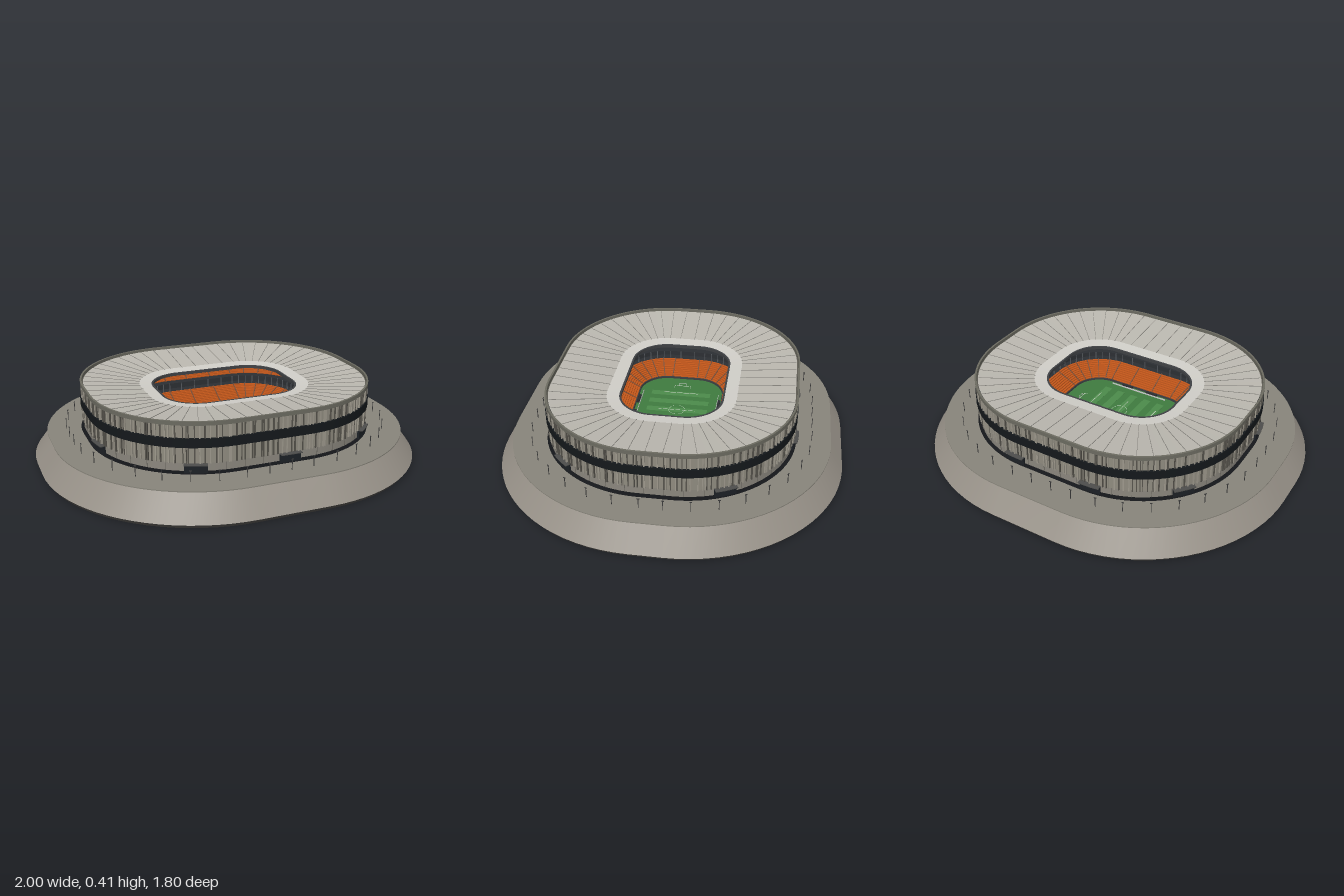
import * as THREE from 'three';
import { mergeGeometries, toCreasedNormals } from 'three/addons/utils/BufferGeometryUtils.js';

// Every ring is an offset of one small core rectangle (half sizes HX, HZ).
const HX = 0.18, HZ = 0.08, R = 0.56, ARC = R * Math.PI / 2;
const LEGS = [HX, ARC, 2 * HZ, ARC, 2 * HX, ARC, 2 * HZ, ARC, HX];
const TOTAL = LEGS.reduce((a, b) => a + b, 0);

// Point at distance s round the ring (0 = front centre, towards +x), offset r from the core.
function at(s, r) {
  s = ((s % TOTAL) + TOTAL) % TOTAL;
  let a = 0, x = 0, z = HZ;
  for (let i = 0; i < LEGS.length; i++) {
    const d = Math.min(s, LEGS[i]);
    if (i % 2) a += d / R;
    else { x += Math.cos(a) * d; z -= Math.sin(a) * d; }
    s -= d;
    if (s <= 1e-9) break;
  }
  return { x: x + Math.sin(a) * r, z: z + Math.cos(a) * r, a };
}

// Stations round the ring: ends of straights plus fine steps on the arcs.
const STATIONS = [];
{
  let s = 0;
  LEGS.forEach((len, i) => {
    const n = i % 2 ? 20 : 1;
    for (let k = 0; k < n; k++) STATIONS.push(s + len * k / n);
    s += len;
  });
}

const material = (color) => new THREE.MeshStandardMaterial({ color, side: THREE.DoubleSide });

function makeMesh(name, color, geo) {
  const mesh = new THREE.Mesh(geo, material(color));
  mesh.name = name;
  return mesh;
}

// Sweeps a profile of [offset, height] points round the ring.
function ring(name, color, profile) {
  const pos = [], idx = [], n = STATIONS.length;
  for (const [r, y] of profile) {
    for (const s of STATIONS) { const p = at(s, r); pos.push(p.x, y, p.z); }
  }
  for (let j = 0; j < profile.length - 1; j++) {
    for (let i = 0; i < n; i++) {
      const k = (i + 1) % n, a = j * n + i, b = j * n + k;
      idx.push(a, b, b + n, a, b + n, a + n);
    }
  }
  const geo = new THREE.BufferGeometry();
  geo.setAttribute('position', new THREE.Float32BufferAttribute(pos, 3));
  geo.setIndex(idx);
  return makeMesh(name, color, toCreasedNormals(geo, 0.4));
}

// A box standing on the ring: w along it, d across it, optionally tilted.
function ringBox(s, r, y, w, h, d, tilt = 0) {
  const p = at(s, r);
  return new THREE.BoxGeometry(w, h, d).rotateX(tilt).rotateY(p.a).translate(p.x, y, p.z);
}
const box = (x, y, z, w, h, d) => new THREE.BoxGeometry(w, h, d).translate(x, y, z);
const merged = (name, color, geos) => makeMesh(name, color, mergeGeometries(geos));
const repeat = (n, fn) => Array.from({ length: n }, (_, i) => fn(i, TOTAL * (i + 0.5) / n));

// Stepped seating profile.
function steps(rows, r0, y0, r1, y1) {
  const pts = [[r0, y0]];
  for (let i = 1; i <= rows; i++) {
    const y = y0 + (y1 - y0) * i / rows;
    pts.push([r0 + (r1 - r0) * (i - 1) / rows, y], [r0 + (r1 - r0) * i / rows, y]);
  }
  return pts;
}

let seed = 7;
const rand = () => (seed = (seed * 16807) % 2147483647) / 2147483647;

function podium() {
  const g = new THREE.Group();
  g.name = 'podium';
  g.add(ring('podiumBase', 0x4a4845, [[0.808, 0], [0.82, 0.018]]));
  g.add(ring('podiumSkirt', 0x958f86, [[0.82, 0.018], [0.725, 0.145]]));
  g.add(ring('podiumDeck', 0x87847a, [[0.725, 0.145], [0.75, 0.145], [0.75, 0.15], [0.572, 0.15], [0.572, 0.145], [0.725, 0.145]]));
  const poles = [];
  repeat(40, (i, s) => {
    poles.push(ringBox(s, 0.65, 0.177, 0.003, 0.054, 0.003));
    poles.push(ringBox(s, 0.65, 0.204, 0.012, 0.003, 0.004));
  });
  g.add(merged('lampPosts', 0x3a3a3a, poles));
  return g;
}

function facade() {
  const g = new THREE.Group();
  g.name = 'facade';
  g.add(ring('lowerWall', 0x8a867d, [[0.556, 0.16], [0.556, 0.2]]));
  g.add(ring('upperWall', 0x8f8b7f, [[0.556, 0.2], [0.556, 0.39]]));
  g.add(ring('glassBand', 0x14181b, [[0.557, 0.28], [0.569, 0.28], [0.569, 0.325], [0.557, 0.325]]));
  g.add(ring('topRim', 0x6b6a60, [[0.556, 0.388], [0.566, 0.388], [0.566, 0.408], [0.556, 0.408], [0.556, 0.388]]));
  // Irregular vertical fins in two tones
  const dark = [], light = [];
  repeat(230, (i, s) => {
    const fin = ringBox(s + (rand() - 0.5) * 0.02, 0.561, 0.294, 0.003 + rand() * 0.004, 0.188, 0.008);
    (rand() < 0.55 ? dark : light).push(fin);
  });
  g.add(merged('darkFins', 0x56534c, dark), merged('lightFins', 0x9d988c, light));
  g.add(merged('wallJoints', 0x65625b, repeat(48, (i, s) => ringBox(s, 0.556, 0.18, 0.002, 0.04, 0.003))));
  // Entrances with canopies
  const doors = [], canopies = [];
  for (const s of [0.09, 0.62, 1.48, 2.06, 2.5, -1.6, -0.95, -0.38]) {
    for (const k of [-1, 0, 1]) doors.push(ringBox(s + k * 0.036, 0.559, 0.174, 0.038, 0.042, 0.014));
    for (const k of [-1, 0, 1]) canopies.push(ringBox(s + k * 0.036, 0.568, 0.197, 0.038, 0.004, 0.03));
  }
  g.add(merged('entrances', 0x1c2025, doors), merged('entranceCanopies', 0x4d4d4b, canopies));
  return g;
}

function roof() {
  const g = new THREE.Group();
  g.name = 'roof';
  g.add(ring('roofPanels', 0xbab7af, [[0.255, 0.3663], [0.55, 0.395]]));
  g.add(ring('roofInnerPanels', 0xcfcdc7, [[0.19, 0.36], [0.255, 0.3663]]));
  g.add(ring('roofUnderside', 0x45474a, [[0.55, 0.395], [0.55, 0.388], [0.19, 0.35]]));
  g.add(ring('roofInnerEdge', 0x3f4144, [[0.19, 0.361], [0.18, 0.361], [0.18, 0.345], [0.19, 0.345], [0.19, 0.361]]));
  const slope = Math.atan(0.035 / 0.36);
  g.add(merged('roofSeams', 0x85837d, repeat(56, (i, s) => ringBox(s, 0.4, 0.381, 0.0022, 0.003, 0.295, -slope))));
  return g;
}

function bowl() {
  const g = new THREE.Group();
  g.name = 'seatingBowl';
  g.add(ring('fieldWall', 0x3c3f42, [[0.15, 0.158], [0.15, 0.17], [0.155, 0.17]]));
  g.add(ring('lowerTier', 0xc4571a, steps(10, 0.155, 0.168, 0.27, 0.225)));
  g.add(ring('concourse', 0x2c2f33, [[0.27, 0.225], [0.32, 0.225], [0.32, 0.245], [0.275, 0.245], [0.275, 0.27], [0.325, 0.27]]));
  g.add(merged('boxDividers', 0x55595e, repeat(56, (i, s) => ringBox(s, 0.275, 0.248, 0.004, 0.044, 0.006))));
  g.add(ring('upperTier', 0xc4571a, steps(16, 0.325, 0.27, 0.5, 0.36)));
  // Stairways across both tiers
  const aisles = [];
  repeat(32, (i, s) => {
    aisles.push(ringBox(s, 0.2125, 0.2005, 0.005, 0.003, 0.128, -Math.atan(0.057 / 0.115)));
    aisles.push(ringBox(s, 0.4125, 0.319, 0.006, 0.003, 0.197, -Math.atan(0.09 / 0.175)));
  });
  g.add(merged('aisles', 0x6b4a38, aisles));
  return g;
}

function pitch() {
  const g = new THREE.Group();
  g.name = 'pitch';
  const y = 0.1605;
  g.add(merged('grass', 0x3f7a3f, [box(0, 0.157, 0, 0.66, 0.004, 0.46)]));
  g.add(merged('mownStripes', 0x4c8a4a, [-2, -1, 0, 1, 2].map((i) => box(i * 0.083, 0.159, 0, 0.042, 0.001, 0.33))));
  // Markings
  const lines = [box(0, y, 0, 0.002, 0.001, 0.2)];
  for (const m of [-1, 1]) {
    lines.push(box(m * 0.175, y, 0, 0.003, 0.001, 0.19), box(m * 0.25, y, 0, 0.003, 0.001, 0.09));
    for (const k of [-1, 1]) lines.push(box(m * 0.24, y, k * 0.045, 0.02, 0.001, 0.002));
  }
  lines.push(new THREE.RingGeometry(0.042, 0.044, 40).rotateX(-Math.PI / 2).translate(0, y, 0));
  g.add(merged('markings', 0xc8d4c4, lines));
  // Goals, benches and side boards
  const goals = [], benches = [], boards = [];
  for (const m of [-1, 1]) {
    for (const k of [-1, 1]) {
      goals.push(box(m * 0.25, 0.168, k * 0.018, 0.002, 0.016, 0.002));
      benches.push(box(m * 0.077, 0.166, k * 0.221, 0.065, 0.014, 0.013));
    }
    goals.push(box(m * 0.25, 0.176, 0, 0.002, 0.002, 0.038));
    boards.push(box(0, 0.163, m * 0.211, 0.34, 0.008, 0.002));
  }
  g.add(merged('goals', 0xe4e4e4, goals), merged('benches', 0x2a2d30, benches), merged('sideBoards', 0xd0d0d0, boards));
  return g;
}

export function createModel() {
  const model = new THREE.Group();
  model.name = 'stadium';
  model.add(podium(), facade(), roof(), bowl(), pitch());
  return model;
}
